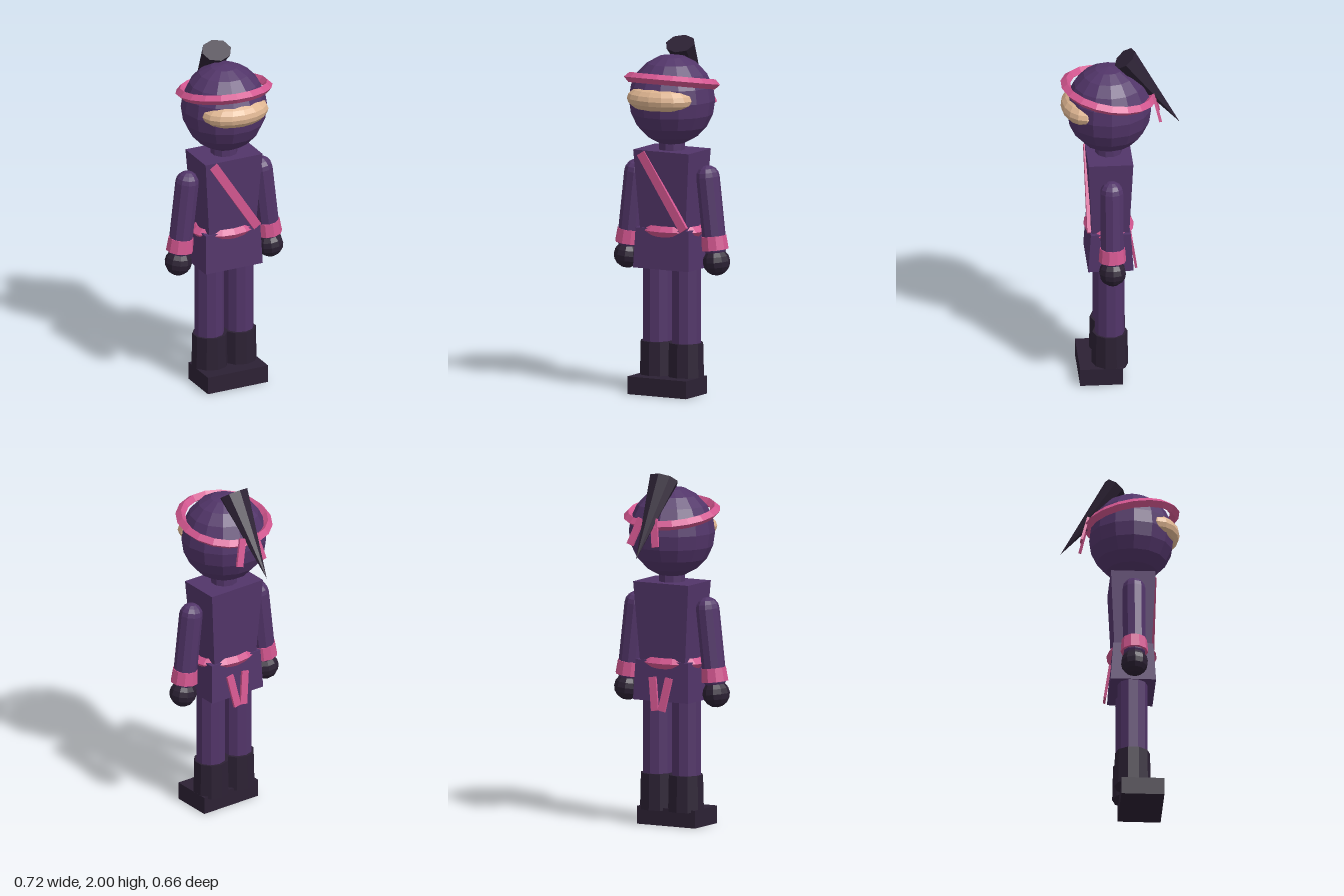
import * as THREE from 'three';

const mat = (name, color) => {
  const m = new THREE.MeshStandardMaterial({ color, flatShading: true });
  m.name = name;
  return m;
};

export function createModel() {
  const cloth = mat('purple cloth', 0x523569);
  const pink = mat('pink fabric', 0xd2568f);
  const dark = mat('dark leather', 0x2c2134);
  const skin = mat('skin', 0xdfb692);

  const root = new THREE.Group();
  root.name = 'maskedFighter';
  const CZ = 0.067; // depth of the body axis

  const add = (name, geo, material, pos, rot = [0, 0, 0], scale = [1, 1, 1], parent = root) => {
    const m = new THREE.Mesh(geo, material);
    m.name = name;
    m.position.set(...pos);
    m.rotation.set(...rot);
    m.scale.set(...scale);
    parent.add(m);
    return m;
  };

  // Box whose top and bottom have different half sizes
  const taperedBox = (top, bottom, height) => {
    const g = new THREE.BoxGeometry(2, height, 2);
    const p = g.attributes.position;
    for (let i = 0; i < p.count; i++) {
      const [hx, hz] = p.getY(i) > 0 ? top : bottom;
      p.setX(i, p.getX(i) * hx);
      p.setZ(i, p.getZ(i) * hz);
    }
    return g;
  };

  // Horizontal ring with a diamond section
  const ring = (radius, tube, sides) =>
    new THREE.TorusGeometry(radius, tube, 4, sides).rotateX(Math.PI / 2);

  // Head, face opening and neck
  add('head', new THREE.SphereGeometry(1, 14, 10), cloth, [0, 1.655, CZ], [0, 0, 0], [0.242, 0.255, 0.24]);
  add('face', new THREE.SphereGeometry(1, 16, 10), skin, [0, 1.675, 0.2], [0, 0, 0], [0.2, 0.085, 0.135]);
  add('neck', new THREE.CylinderGeometry(0.075, 0.075, 0.12, 10), cloth, [0, 1.4, CZ]);

  // Tilted headband with two loose ends
  add('headband', ring(0.245, 0.028, 18), pink, [0, 1.76, CZ], [-0.175, 0, 0]);
  add('headbandTailLeft', new THREE.BoxGeometry(0.042, 0.16, 0.014), pink, [0.08, 1.68, -0.197], [0.25, 0, 0.32]);
  add('headbandTailRight', new THREE.BoxGeometry(0.042, 0.16, 0.014), pink, [-0.043, 1.68, -0.197], [0.25, 0, -0.2]);

  // Ponytail: a flattened cone pointing down and back
  add('ponytail', new THREE.CylinderGeometry(0.09, 0, 0.512, 8), dark,
    [0, 1.752, -0.177], [0.64, 0, 0], [1, 1, 0.78]);

  // Torso narrows to the waist, tunic flares out below it
  add('torso', taperedBox([0.178, 0.125], [0.145, 0.104], 0.455), cloth, [0, 1.1475, CZ]);
  add('tunicSkirt', taperedBox([0.17, 0.112], [0.178, 0.127], 0.225), cloth, [0, 0.8225, CZ]);

  // Sash, belt and belt ends
  add('sash', new THREE.BoxGeometry(0.052, 0.5, 0.02), pink, [0.008, 1.15, 0.188], [0, 0, 0.58]);
  add('belt', ring(0.17, 0.031, 16), pink, [0, 0.923, CZ], [0, 0, 0], [1, 1, 0.7]);
  for (const s of [1, -1]) {
    add('beltTail', new THREE.BoxGeometry(0.045, 0.19, 0.014), pink,
      [s * 0.037, 0.752, -0.07], [0.15, 0, -s * 0.17]);
  }

  for (const s of [1, -1]) {
    const side = s > 0 ? 'left' : 'right';

    // Arm hangs slightly outward from the shoulder
    const arm = new THREE.Group();
    arm.name = side + 'Arm';
    arm.position.set(s * 0.231, 1.235, CZ);
    arm.rotation.z = s * 0.115;
    root.add(arm);
    add(side + 'Sleeve', new THREE.CapsuleGeometry(0.066, 0.39, 4, 10), cloth, [0, -0.195, 0], [0, 0, 0], [1, 1, 1], arm);
    add(side + 'Cuff', new THREE.CylinderGeometry(0.071, 0.077, 0.078, 10), pink, [0, -0.37, 0], [0, 0, 0], [1, 1, 1], arm);
    add(side + 'Hand', new THREE.SphereGeometry(0.077, 10, 8), dark, [0, -0.478, 0], [0, 0, 0], [1, 1, 1], arm);

    // Leg, boot shaft and flat foot
    add(side + 'Leg', new THREE.CylinderGeometry(0.083, 0.083, 0.5, 10), cloth, [s * 0.093, 0.5, CZ]);
    add(side + 'Boot', new THREE.CylinderGeometry(0.098, 0.103, 0.205, 10), dark, [s * 0.09, 0.188, CZ]);
    add(side + 'Foot', new THREE.BoxGeometry(0.188, 0.1, 0.24), dark, [s * 0.094, 0.05, 0.12]);
  }

  return root;
}
